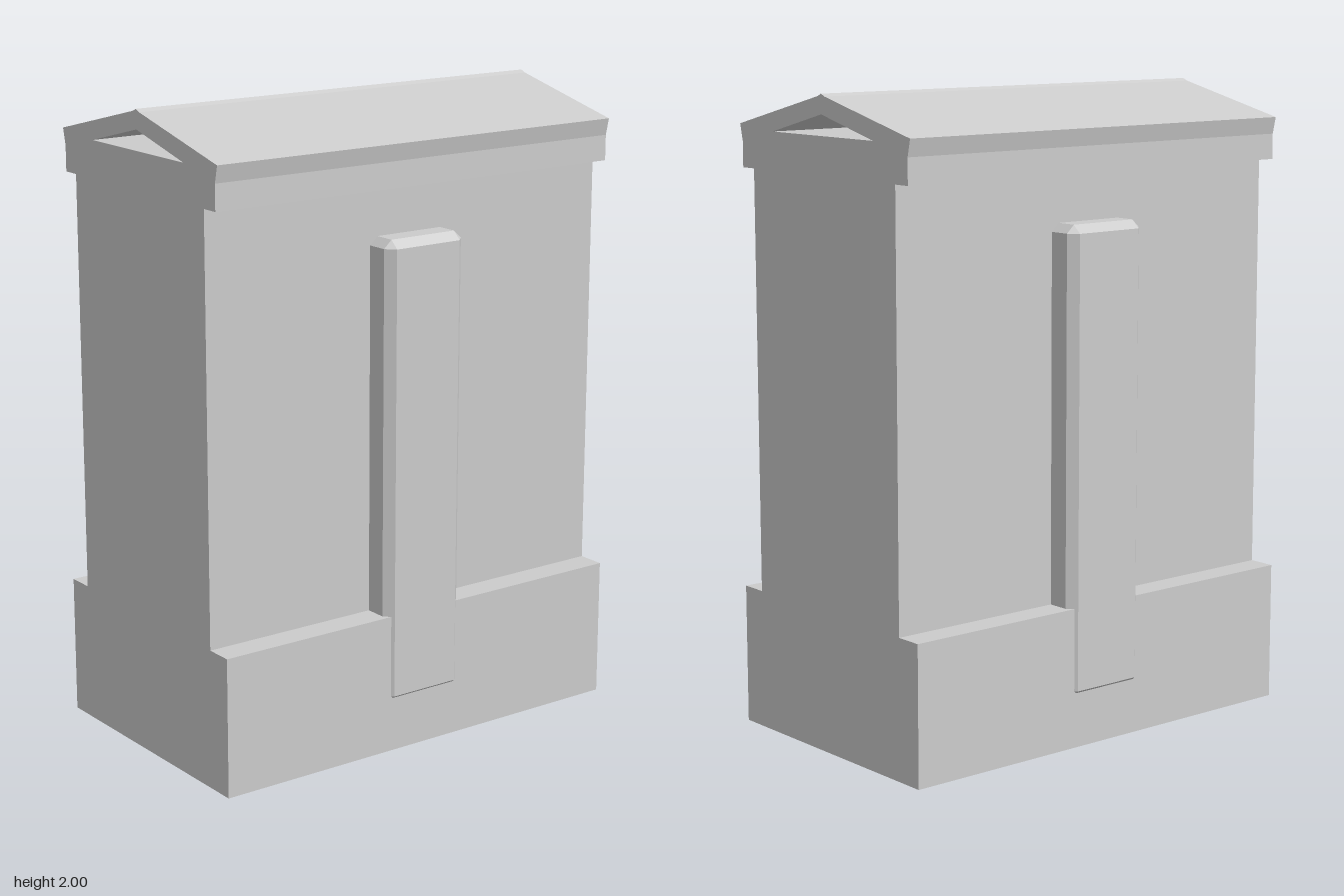
import * as THREE from 'three';
import { ConvexGeometry } from 'three/addons/geometries/ConvexGeometry.js';

const WIDTH = 1.46;

export function createModel() {
  const group = new THREE.Group();
  const material = new THREE.MeshStandardMaterial({ color: 0xcccccc, flatShading: true });

  function add(name, geometry) {
    const mesh = new THREE.Mesh(geometry, material);
    mesh.name = name;
    group.add(mesh);
    return mesh;
  }

  // A full-width block between two heights
  function block(name, y0, y1, depth) {
    add(name, new THREE.BoxGeometry(WIDTH, y1 - y0, depth)).position.y = (y0 + y1) / 2;
  }
  block('plinth', 0, 0.44, 0.88);
  block('body', 0.44, 1.76, 0.704);

  // Gabled roof with eaves, a small ridge and a triangular opening right through
  const half = [[0.41, 1.76], [0.41, 1.84], [0.422, 1.893], [0.018, 1.992]];
  const mirrored = half.map(([z, y]) => [-z, y]).reverse();
  const outline = [...half, [0, 2], ...mirrored].map(([z, y]) => new THREE.Vector2(z, y));
  const roof = new THREE.Shape(outline);
  roof.holes.push(new THREE.Path([
    new THREE.Vector2(-0.25, 1.877), new THREE.Vector2(0, 1.94), new THREE.Vector2(0.25, 1.877),
  ]));
  const roofGeometry = new THREE.ExtrudeGeometry(roof, { depth: WIDTH, bevelEnabled: false });
  roofGeometry.translate(0, 0, -WIDTH / 2).rotateY(Math.PI / 2);
  add('roof', roofGeometry);

  // Bevelled pilaster: octagonal sides narrowing to a rectangular face
  const points = [];
  const inner = 0.118, outer = 0.145;
  for (const s of [-1, 1]) {
    for (const [yFace, yEdge] of [[1.585, 1.61], [0.18, 0.155]]) {
      points.push(new THREE.Vector3(s * inner, yFace, 0.448));
      for (const z of [0.35, 0.42]) {
        points.push(new THREE.Vector3(s * outer, yFace, z));
        points.push(new THREE.Vector3(s * inner, yEdge, z));
      }
    }
  }
  const pilaster = new ConvexGeometry(points);
  add('frontPilaster', pilaster);
  add('backPilaster', pilaster).rotation.y = Math.PI;

  return group;
}
